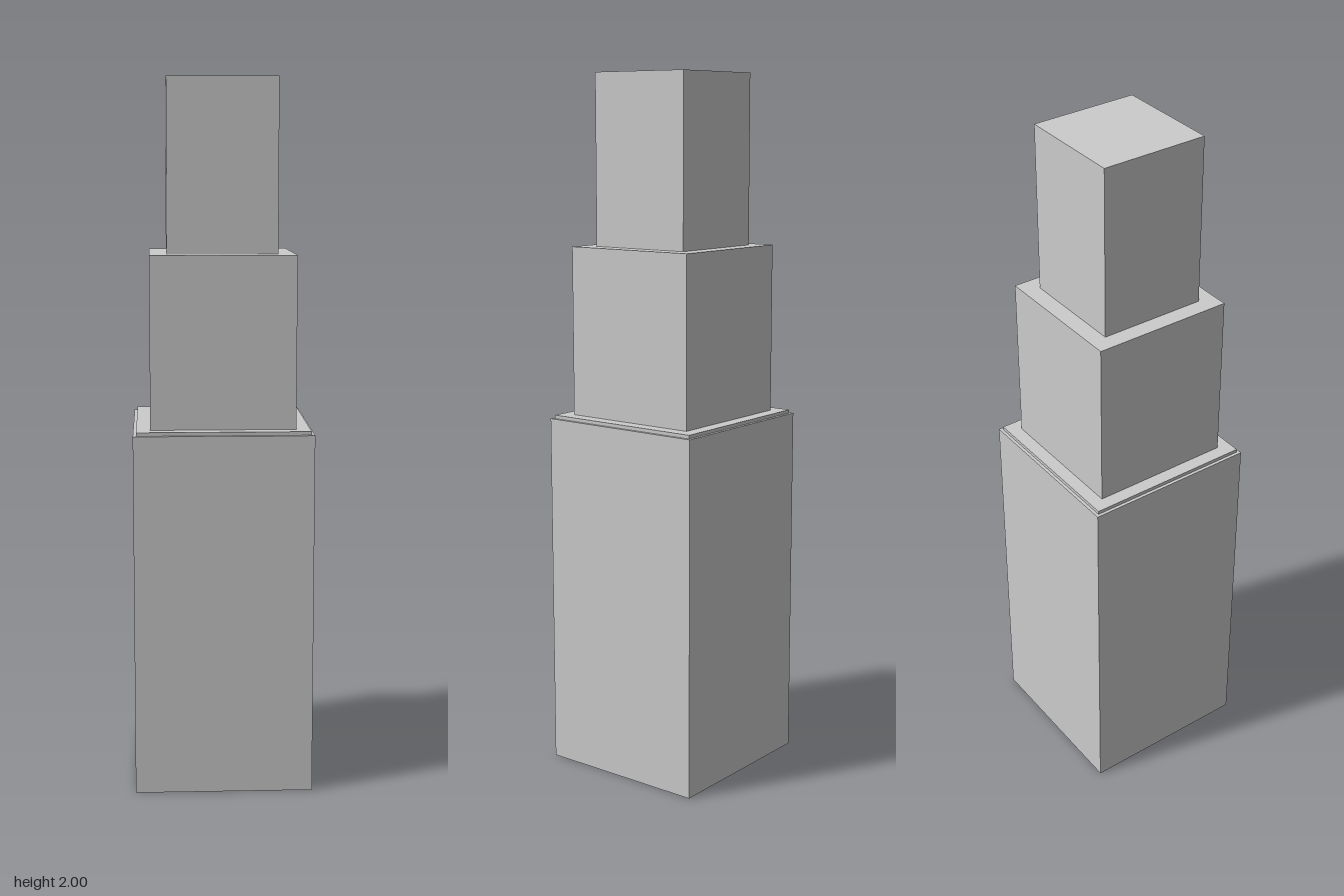
import * as THREE from 'three';

export function createModel() {
  const model = new THREE.Group();
  const material = new THREE.MeshStandardMaterial({ color: 0xcccccc, flatShading: true });

  // Square tiers stacked from the ground up: name, width, bottom, top
  const tiers = [
    ['baseBlock', 0.502, 0, 1.027],
    ['baseLip', 0.484, 1.027, 1.037],
    ['middleBlock', 0.406, 1.037, 1.519],
    ['topBlock', 0.308, 1.519, 2],
  ];

  for (const [name, width, bottom, top] of tiers) {
    const mesh = new THREE.Mesh(new THREE.BoxGeometry(width, top - bottom, width), material);
    mesh.position.y = (bottom + top) / 2;
    mesh.name = name;
    model.add(mesh);
  }
  return model;
}
